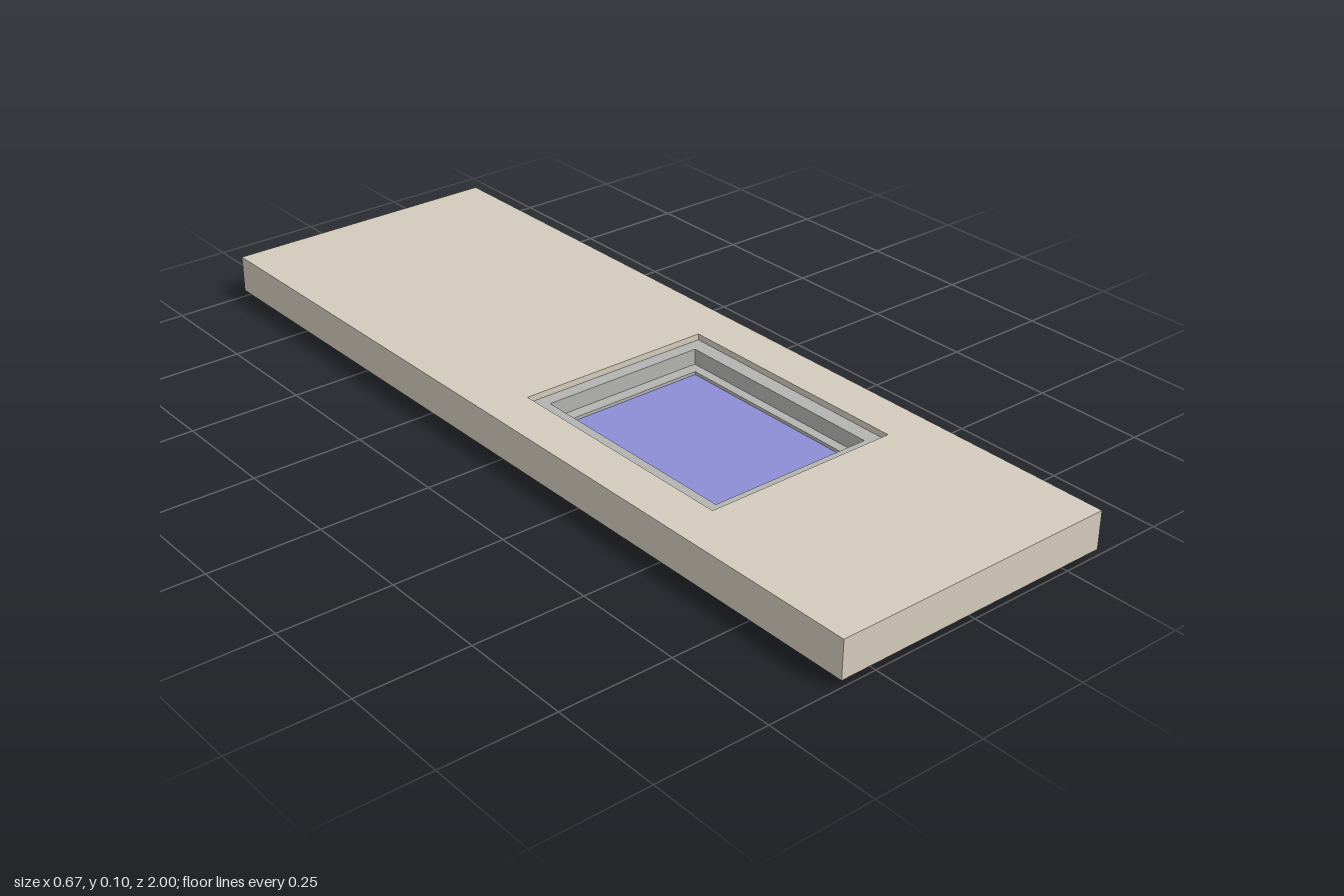
import * as THREE from 'three';

const CENTER_Z = 0.2575; // middle of the window along the slab

function material(color) {
  return new THREE.MeshStandardMaterial({ color });
}

// Rectangle path centred on (x, y) with half sizes hw, hh
function rect(PathType, hw, hh, y = 0) {
  const p = new PathType();
  p.moveTo(-hw, y - hh);
  p.lineTo(hw, y - hh);
  p.lineTo(hw, y + hh);
  p.lineTo(-hw, y + hh);
  p.closePath();
  return p;
}

// Flat rectangular ring lying in the xz plane between two heights
function ring(name, outer, inner, innerZ, y0, y1, mat) {
  const shape = rect(THREE.Shape, ...outer);
  shape.holes.push(rect(THREE.Path, inner[0], inner[1], -innerZ));
  const geo = new THREE.ExtrudeGeometry(shape, { depth: y1 - y0, bevelEnabled: false });
  geo.rotateX(-Math.PI / 2);
  const mesh = new THREE.Mesh(geo, mat);
  mesh.name = name;
  mesh.position.y = y0;
  return mesh;
}

export function createModel() {
  const model = new THREE.Group();
  model.name = 'wallWithWindow';
  const grey = material(0xb3b3b0);

  // Wall slab with the window opening
  model.add(ring('wall', [0.333, 1], [0.23, 0.287], CENTER_Z, 0.015, 0.1, material(0xd3cbbc)));

  // Window: fixed frame, sash and pane, stepped back from the wall face
  const win = new THREE.Group();
  win.name = 'window';
  win.position.z = CENTER_Z;
  win.add(ring('frame', [0.23, 0.287], [0.195, 0.257], 0, 0.03, 0.086, grey));
  win.add(ring('sash', [0.195, 0.257], [0.173, 0.23], 0, 0.028, 0.05, grey));
  const pane = new THREE.Mesh(new THREE.BoxGeometry(0.346, 0.006, 0.46), material(0x8c8cd6));
  pane.name = 'pane';
  pane.position.y = 0.04;
  win.add(pane);

  // Handle: post under the sash with a thin lever curling back
  const profile = new THREE.Shape();
  profile.moveTo(0.19, 0.03);
  profile.lineTo(0.176, 0.03);
  profile.lineTo(0.176, 0.011);
  profile.quadraticCurveTo(0.15, 0.002, 0.125, 0.013);
  profile.quadraticCurveTo(0.135, 0.001, 0.165, 0);
  profile.lineTo(0.19, 0.001);
  profile.closePath();
  const handleGeo = new THREE.ExtrudeGeometry(profile, { depth: 0.012, bevelEnabled: false, curveSegments: 10 });
  const handle = new THREE.Mesh(handleGeo, material(0xb4b0c4));
  handle.name = 'handle';
  handle.position.z = 0.002;
  win.add(handle);

  model.add(win);
  return model;
}
